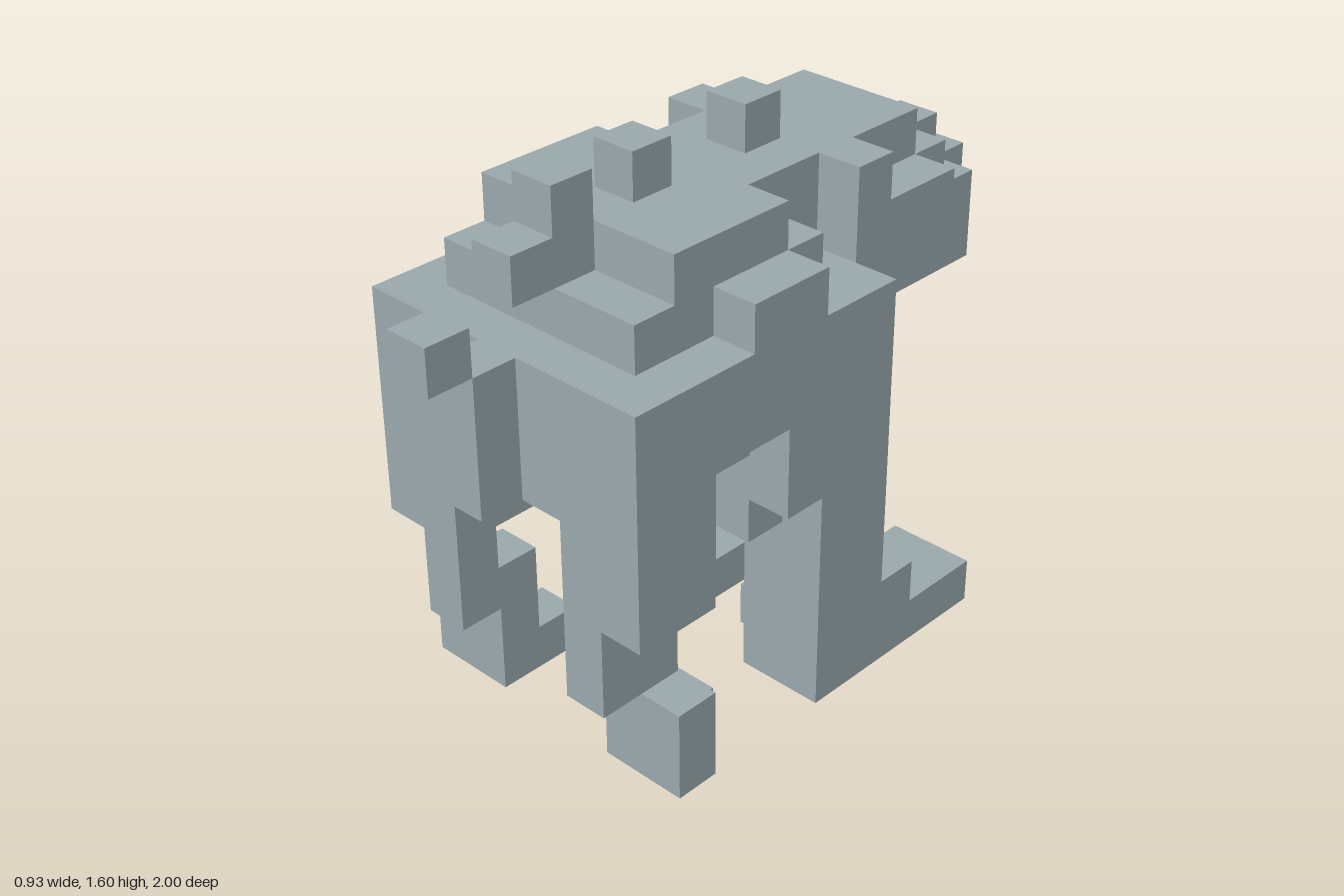
import * as THREE from 'three';

const U = 2 / 15; // edge of one block

export function createModel() {
  const model = new THREE.Group();
  model.name = 'blockCreature';
  const hide = new THREE.MeshStandardMaterial({ color: 0x9ba9ad });
  hide.name = 'grey hide';

  // Box given by its limits in blocks
  const box = (name, x0, x1, y0, y1, z0, z1) => {
    const mesh = new THREE.Mesh(new THREE.BoxGeometry((x1 - x0) * U, (y1 - y0) * U, (z1 - z0) * U), hide);
    mesh.position.set((x0 + x1) / 2 * U, (y0 + y1) / 2 * U, (z0 + z1) / 2 * U);
    mesh.name = name;
    model.add(mesh);
  };
  const mid = (name, half, ...r) => box(name, -half, half, ...r);
  const pair = (name, x0, x1, ...r) => {
    box(name + 'Left', x0, x1, ...r);
    box(name + 'Right', -x1, -x0, ...r);
  };

  // Trunk and belly
  mid('trunk', 3.5, 7, 9, -1.5, 5.5);
  mid('belly', 1.5, 6, 7, -0.5, 5.5);
  mid('bellyRear', 0.5, 6, 7, -1.5, -0.5);
  mid('bellyLow', 1.5, 5, 6, -0.5, 2.5);
  mid('bellyKeel', 0.5, 5, 6, 2.5, 3.5);

  // Stepped back
  mid('backLower', 2.5, 9, 10, 0.5, 4.5);
  mid('backUpper', 2.5, 10, 11, 0.5, 3.5);
  mid('neck', 1.5, 9, 11, -1.5, 0.5);
  pair('neckStep', 1.5, 2.5, 9, 10, -0.5, 0.5);
  pair('shoulder', 2.5, 3.5, 9, 10, 0.5, 2.5);

  // Spikes along the spine
  for (const z of [-1, 2, 4]) mid('spineSpike', 0.5, 11, 12, z - 0.5, z + 0.5);
  mid('spineHook', 0.5, 10, 11, 3.5, 5.5);

  // Tail
  mid('tail', 0.5, 6, 9, 5.5, 6.5);
  mid('tailTip', 0.5, 9, 10, 6.5, 7.5);

  // Head
  mid('jaw', 1.5, 7, 9, -6.5, -1.5);
  mid('face', 1.5, 9, 10, -5.5, -1.5);
  mid('crown', 1.5, 10, 11, -4.5, -1.5);
  mid('noseBridge', 0.5, 9, 10, -6.5, -5.5);
  mid('nose', 0.5, 8, 9, -7.5, -6.5);
  pair('cheek', 1.5, 2.5, 8, 10, -4.5, -1.5);
  pair('ear', 1.5, 2.5, 10, 11, -2.5, -1.5);

  // Large legs with long feet
  pair('largeLeg', 1.5, 3.5, 0, 7, -1.5, 0.5);
  pair('largeAnkle', 1.5, 3.5, 1, 2, -2.5, -1.5);
  pair('largeFoot', 1.5, 3.5, 0, 1, -4.5, -1.5);
  pair('largeToe', 0.5, 1.5, 0, 1, -2.5, -0.5);
  pair('thighOuter', 2.5, 3.5, 5, 7, 0.5, 1.5);
  pair('thighInner', 1.5, 2.5, 4, 7, 0.5, 1.5);

  // Flanks above the side arch
  pair('flank', 1.5, 2.5, 6, 7, 1.5, 3.5);

  // Small legs
  pair('smallThigh', 1.5, 3.5, 4, 7, 3.5, 5.5);
  pair('smallShin', 1.5, 2.5, 2, 4, 4.5, 5.5);
  pair('smallAnkle', 1.5, 2.5, 2, 3, 3.5, 4.5);
  pair('smallFoot', 1.5, 3.5, 0, 2, 3.5, 4.5);
  pair('smallToe', 1.5, 2.5, 0, 1, 2.5, 3.5);

  return model;
}
